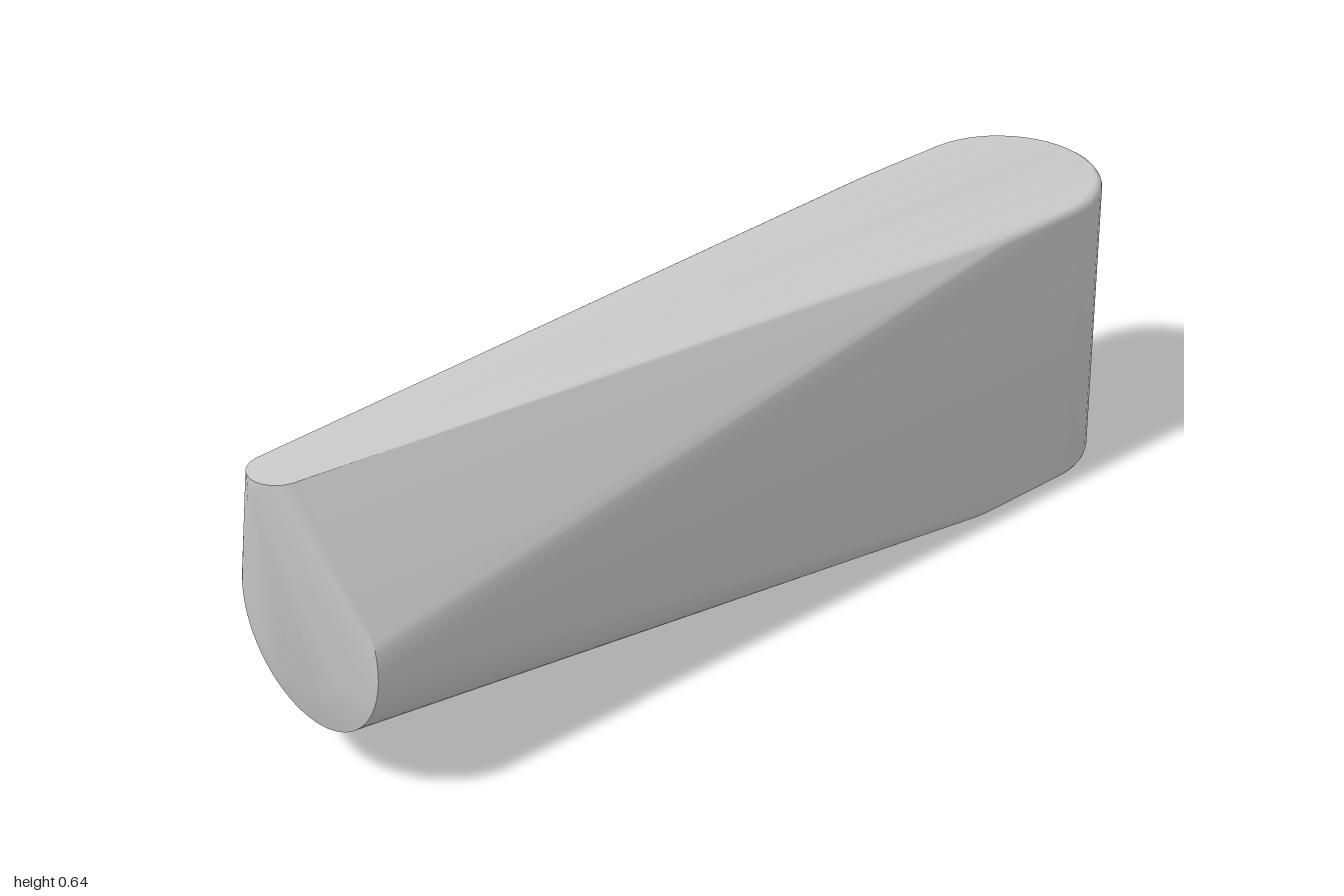
import * as THREE from 'three';
import { ConvexGeometry } from 'three/addons/geometries/ConvexGeometry.js';
import { toCreasedNormals } from 'three/addons/utils/BufferGeometryUtils.js';

const R = 0.191; // half width of the body
const FILLET = 0.018;

// Points of a circle lying flat (around y) or upright (around z)
function ring(cx, cy, cz, r, flat, n = 48) {
  return Array.from({ length: n }, (_, i) => {
    const a = (i / n) * Math.PI * 2;
    const u = r * Math.cos(a), v = r * Math.sin(a);
    return flat ? new THREE.Vector3(cx + u, cy, cz + v) : new THREE.Vector3(cx + u, cy + v, cz);
  });
}

// Upright cylinder with rounded rims
function roundedCylinder(cz, height) {
  const points = [];
  const steps = 4;
  for (let i = 0; i <= steps; i++) {
    const a = (i / steps) * Math.PI / 2;
    const r = R - FILLET * (1 - Math.cos(a));
    const inset = FILLET * (1 - Math.sin(a));
    points.push(...ring(0, inset, cz, r, true), ...ring(0, height - inset, cz, r, true));
  }
  return points;
}

export function createModel() {
  const group = new THREE.Group();
  const points = [
    // Rounded rear block
    ...roundedCylinder(-0.809, 0.606),
    ...roundedCylinder(-0.6, 0.606),
    // Shallow domed disc at the front
    ...ring(0, 0.305, 0.905, R, false, 64),
    ...ring(0, 0.305, 0.93, 0.115, false, 64),
    // Narrow upper tip
    ...ring(0, 0.61, 0.945, 0.055, true, 32),
    ...ring(0, 0.639, 0.945, 0.055, true, 32),
  ];
  const geometry = toCreasedNormals(new ConvexGeometry(points), 0.45);
  const body = new THREE.Mesh(geometry, new THREE.MeshStandardMaterial({ color: 0xcccccc }));
  body.name = 'taperedBody';
  group.add(body);
  return group;
}
